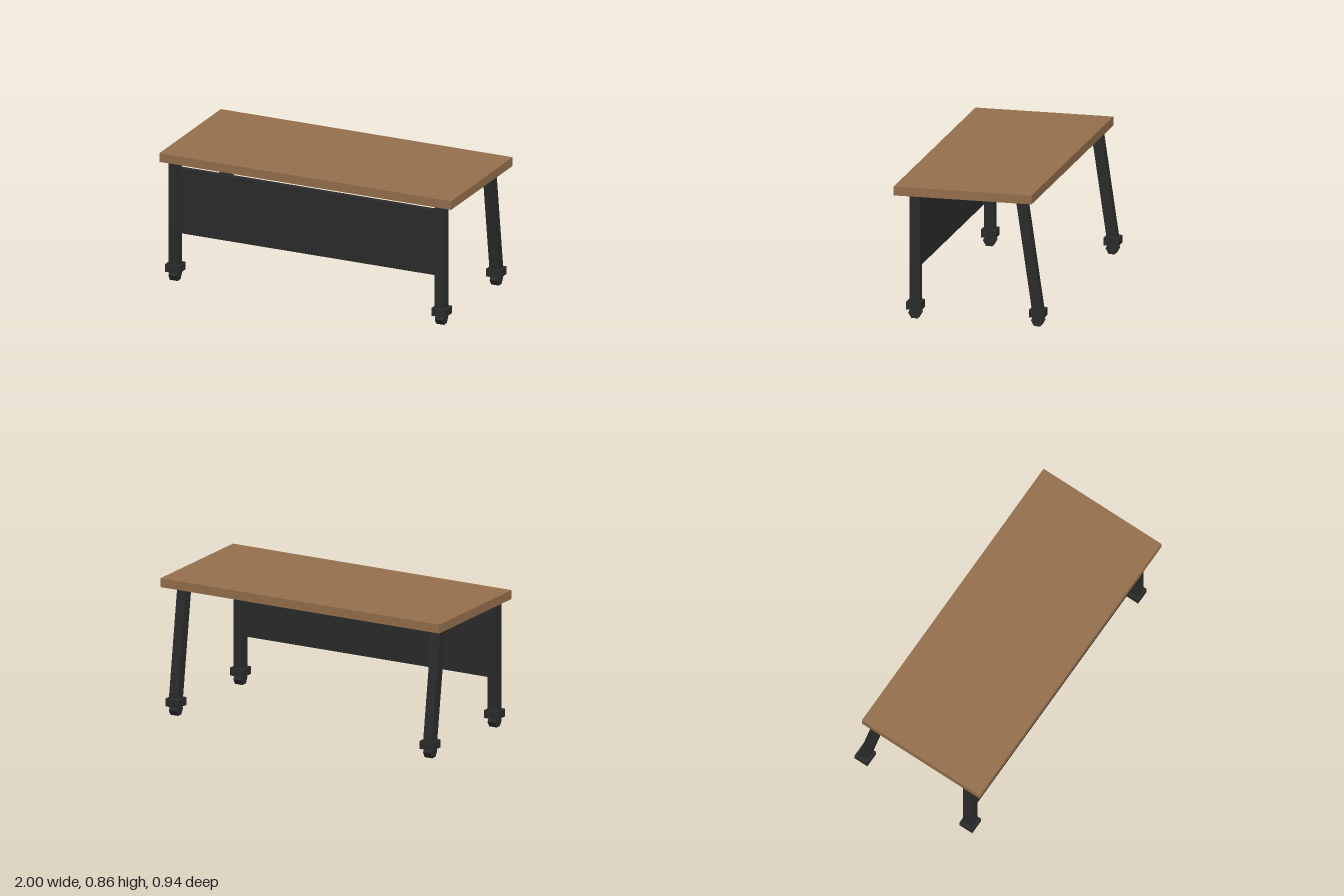
import * as THREE from 'three';

export function createModel() {
  const group = new THREE.Group();
  group.name = 'desk';

  const wood = new THREE.MeshStandardMaterial({ color: 0x96704d, flatShading: true });
  wood.name = 'wood';
  const metal = new THREE.MeshStandardMaterial({ color: 0x2c2c2c, flatShading: true });
  metal.name = 'dark metal';

  const add = (parent, name, geometry, material, x, y, z) => {
    const mesh = new THREE.Mesh(geometry, material);
    mesh.name = name;
    mesh.position.set(x, y, z);
    parent.add(mesh);
    return mesh;
  };

  // Table top
  add(group, 'tableTop', new THREE.BoxGeometry(2, 0.057, 0.88), wood, 0, 0.8285, 0.03);

  // Front privacy panel between the front legs
  add(group, 'frontPanel', new THREE.BoxGeometry(1.762, 0.428, 0.03), metal, -0.03, 0.529, 0.36);

  // A leg whose top and foot may sit at different depths, with collar and six-sided wheel
  const legBottom = 0.1, legTop = 0.8;
  function addLeg(name, x, topZ, footZ) {
    const leg = new THREE.Group();
    leg.name = name;
    const post = new THREE.BoxGeometry(0.064, legTop - legBottom, 0.064);
    const p = post.attributes.position;
    for (let i = 0; i < p.count; i++) {
      p.setZ(i, p.getZ(i) + (p.getY(i) > 0 ? topZ : footZ));
    }
    post.computeVertexNormals();
    add(leg, 'post', post, metal, x, (legTop + legBottom) / 2, 0);
    add(leg, 'collar', new THREE.BoxGeometry(0.095, 0.05, 0.095), metal, x, 0.083, footZ);
    const wheel = new THREE.CylinderGeometry(0.0405, 0.0405, 0.054, 6).rotateZ(Math.PI / 2);
    add(leg, 'wheel', wheel, metal, x, 0.035, footZ);
    group.add(leg);
  }

  // Legs stand slightly off-centre under the top; the back pair slants outwards
  for (const [side, x] of [['Right', -0.943], ['Left', 0.882]]) {
    addLeg('front' + side + 'Leg', x, 0.361, 0.361);
    addLeg('back' + side + 'Leg', x, -0.32, -0.4225);
  }

  return group;
}
